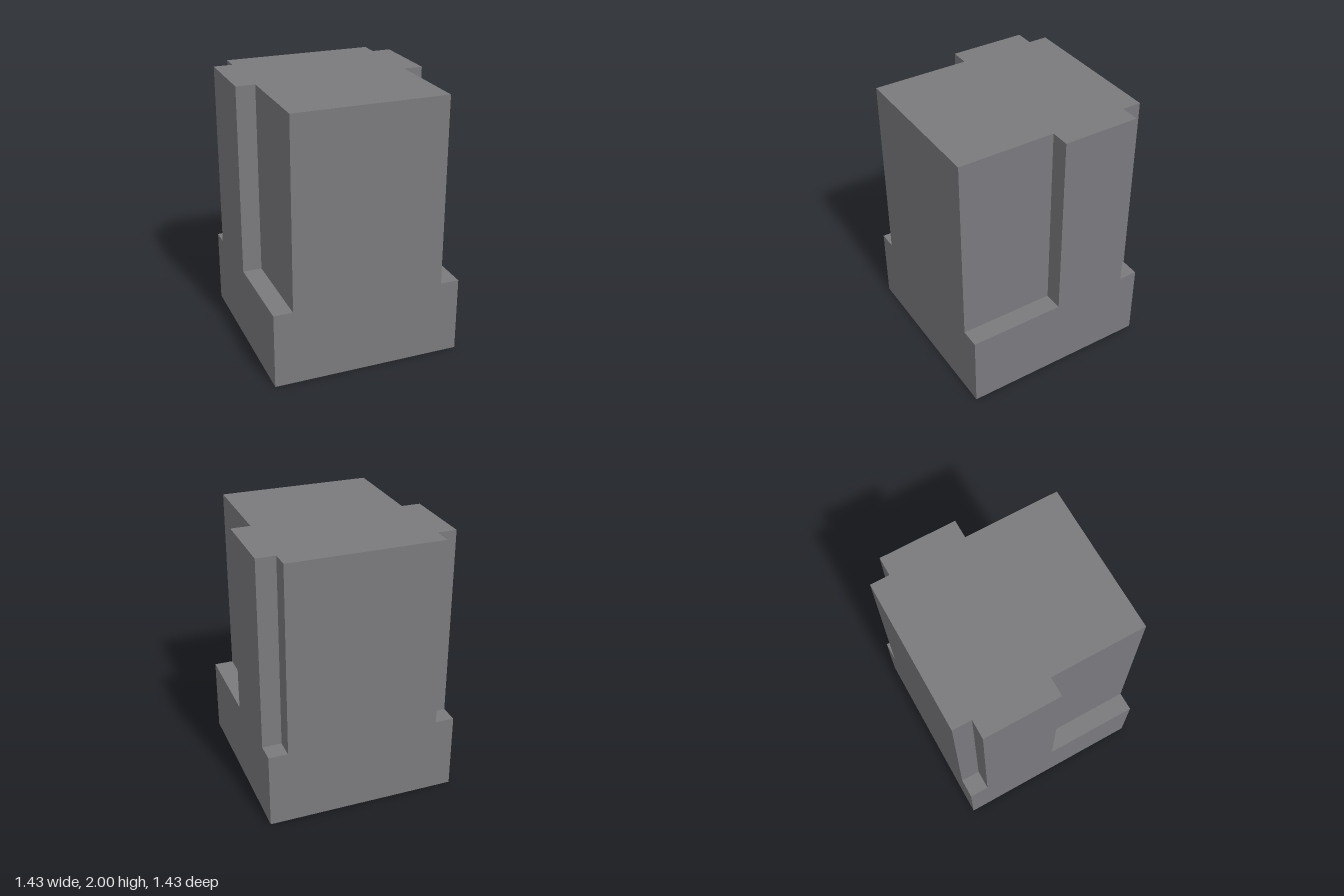
import * as THREE from 'three';

const U = 1 / 7;            // building module: the block is 10 x 14 x 10 units
const HALF = 5 * U;         // half width of the base
const INSET = 4 * U;        // half width of the notched parts
const BASE_H = 4 * U;
const HEIGHT = 14 * U;

export function createModel() {
  const group = new THREE.Group();
  group.name = 'notchedBlock';
  const material = new THREE.MeshStandardMaterial({ color: 0x7a797d, flatShading: true });

  // Square base
  const base = new THREE.Mesh(new THREE.BoxGeometry(2 * HALF, BASE_H, 2 * HALF), material);
  base.name = 'base';
  base.position.y = BASE_H / 2;
  group.add(base);

  // Tower plan as [x, z] on the left side, front to back, mirrored for the right
  const side = [
    [INSET, HALF], [INSET, 0],       // wide front recess
    [HALF, 0], [HALF, -INSET],       // full-width middle
    [INSET, -INSET], [INSET, -HALF], // small back corner notch
  ];
  const outline = [
    ...side.map(([x, z]) => new THREE.Vector2(x, -z)),
    ...side.slice().reverse().map(([x, z]) => new THREE.Vector2(-x, -z)),
  ];
  const towerGeometry = new THREE.ExtrudeGeometry(new THREE.Shape(outline), {
    depth: HEIGHT - BASE_H,
    bevelEnabled: false,
  });
  towerGeometry.rotateX(-Math.PI / 2);
  const tower = new THREE.Mesh(towerGeometry, material);
  tower.name = 'tower';
  tower.position.y = BASE_H;
  group.add(tower);

  return group;
}
